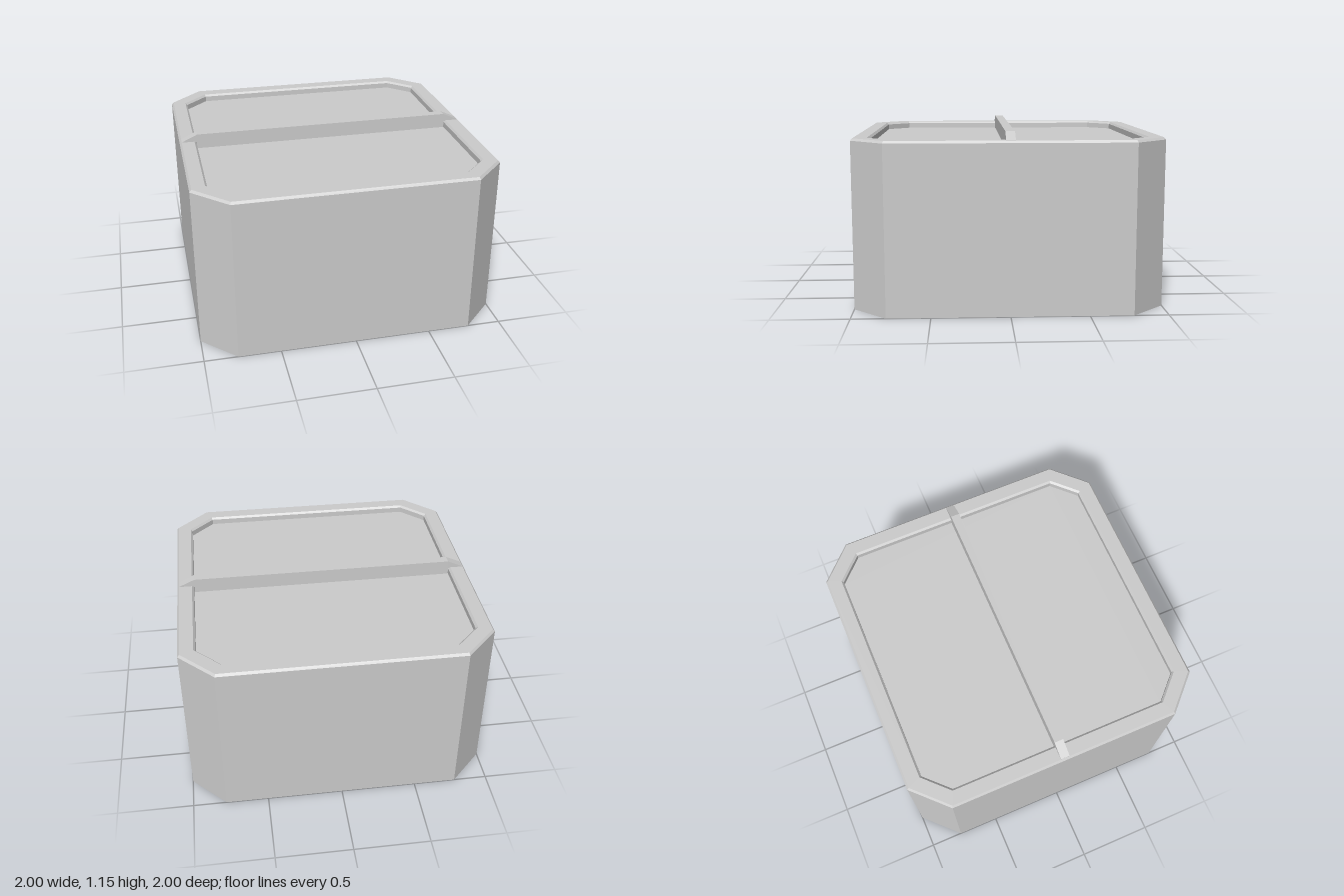
import * as THREE from 'three';

const material = new THREE.MeshStandardMaterial({ color: 0xcccccc, flatShading: true });

// Chamfered-square outline, inset evenly from the outer wall
function octagon(inset) {
  const h = 1 - inset;
  const c = 0.78 - inset * 0.414; // where the straight side meets the corner cut
  return [[h, c], [c, h], [-c, h], [-h, c], [-h, -c], [-c, -h], [c, -h], [h, -c]];
}

// Skin a list of [inset, y] rings, closed with a cap at both ends
function loft(profile) {
  const n = 8, pos = [], index = [];
  for (const [inset, y] of profile) {
    for (const [x, z] of octagon(inset)) pos.push(x, y, z);
  }
  for (let r = 0; r < profile.length - 1; r++) {
    for (let i = 0; i < n; i++) {
      const a = r * n + i, b = r * n + (i + 1) % n;
      index.push(a, a + n, b, b, a + n, b + n);
    }
  }
  const top = (profile.length - 1) * n;
  for (let i = 1; i < n - 1; i++) {
    index.push(0, i, i + 1);                   // underside
    index.push(top, top + i + 1, top + i);     // recessed floor
  }
  const geo = new THREE.BufferGeometry();
  geo.setAttribute('position', new THREE.Float32BufferAttribute(pos, 3));
  geo.setIndex(index);
  const flat = geo.toNonIndexed();
  flat.computeVertexNormals();
  return flat;
}

export function createModel() {
  const group = new THREE.Group();

  // Solid body: wall, bevelled rim, inner bevel and recess in one skin
  const body = new THREE.Mesh(loft([
    [0, 0], [0, 1.09], [0.013, 1.105],
    [0.1, 1.105], [0.113, 1.092], [0.113, 1.055],
  ]), material);
  body.name = 'body';
  group.add(body);

  // Handle bar across the recess, with ends sloping down onto the rim
  const side = new THREE.Shape([
    [-0.885, 1.05], [0.885, 1.05], [0.885, 1.1], [0.985, 1.1], [0.985, 1.107], [0.88, 1.155],
    [-0.88, 1.155], [-0.985, 1.107], [-0.985, 1.1], [-0.885, 1.1],
  ].map(([x, y]) => new THREE.Vector2(x, y)));
  const barGeo = new THREE.ExtrudeGeometry(side, { depth: 0.06, bevelEnabled: false });
  barGeo.translate(0, 0, -0.03);
  const bar = new THREE.Mesh(barGeo, material);
  bar.name = 'handleBar';
  group.add(bar);

  return group;
}
